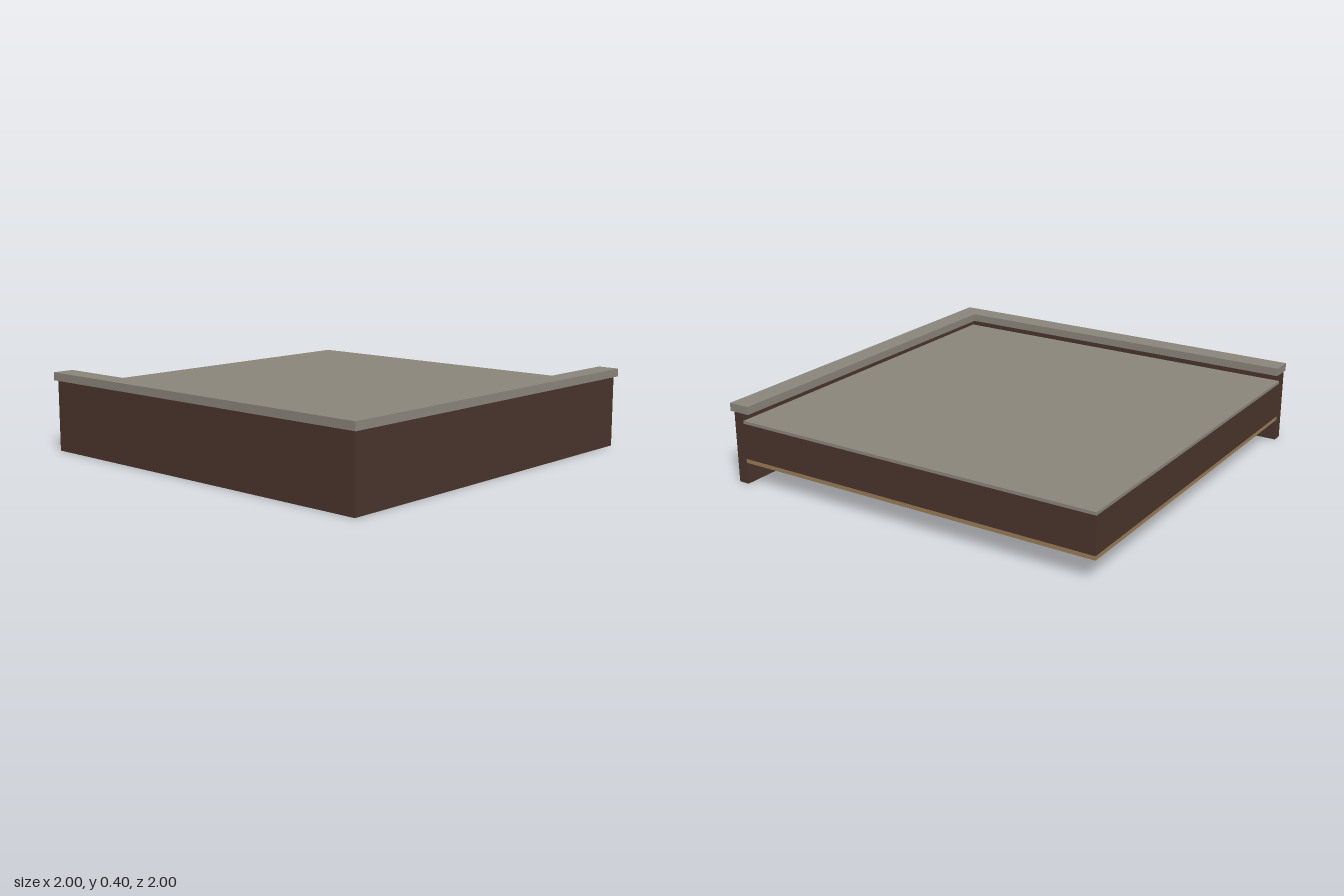
import * as THREE from 'three';

const stone = new THREE.MeshStandardMaterial({ name: 'grey stone', color: 0x8b857b });
const brick = new THREE.MeshStandardMaterial({ name: 'dark brown wall', color: 0x4a352c });
const timber = new THREE.MeshStandardMaterial({ name: 'tan ceiling', color: 0x9a7b58 });

// L-shaped strip along the +x and +z edges, from inner to outer offset
function cornerStrip(name, inner, outer, bottom, top, material) {
  const shape = new THREE.Shape([
    [-1, outer], [-1, inner], [inner, inner], [inner, -1], [outer, -1], [outer, outer],
  ].map(([x, z]) => new THREE.Vector2(x, z)));
  const geometry = new THREE.ExtrudeGeometry(shape, { depth: top - bottom, bevelEnabled: false });
  geometry.rotateX(Math.PI / 2); // shape y becomes z, depth runs downward
  const mesh = new THREE.Mesh(geometry, material);
  mesh.name = name;
  mesh.position.y = top;
  return mesh;
}

// Square layer from the open back corner to the inside of the walls
function slabLayer(name, edge, bottom, top, material) {
  const size = edge + 1;
  const mesh = new THREE.Mesh(new THREE.BoxGeometry(size, top - bottom, size), material);
  mesh.name = name;
  mesh.position.set((edge - 1) / 2, (bottom + top) / 2, (edge - 1) / 2);
  return mesh;
}

export function createModel() {
  const model = new THREE.Group();
  model.name = 'roofCorner';

  const wallInner = 0.92;
  const wallOuter = 0.975;

  // Parapet wall with its overhanging coping
  model.add(cornerStrip('parapetWall', wallInner, wallOuter, 0, 0.36, brick));
  model.add(cornerStrip('coping', 0.888, 1, 0.36, 0.4, stone));

  // Roof slab in three layers
  model.add(slabLayer('ceiling', wallInner, 0.11, 0.13, timber));
  model.add(slabLayer('slabCore', wallInner, 0.13, 0.31, brick));
  model.add(slabLayer('roofSurface', wallInner, 0.31, 0.325, stone));

  return model;
}
